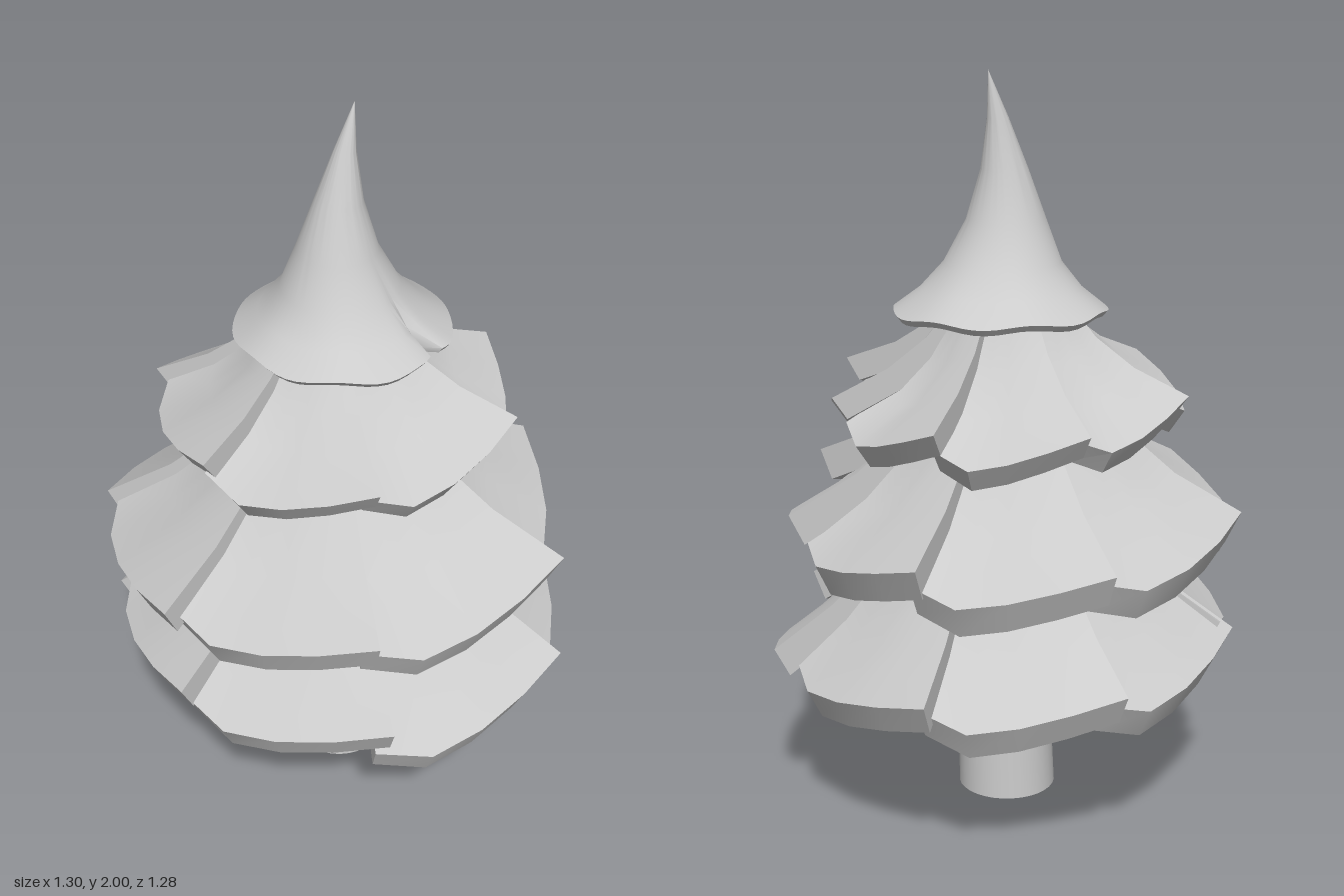
import * as THREE from 'three';
import { toCreasedNormals } from 'three/addons/utils/BufferGeometryUtils.js';

const rad = THREE.MathUtils.degToRad;
const lerp = THREE.MathUtils.lerp;

// Piecewise-linear lookup in an evenly spaced list
function sample(list, t) {
  const f = Math.min(t, 0.9999) * (list.length - 1);
  const i = Math.floor(f);
  return lerp(list[i], list[i + 1], f - i);
}

// Outer rim shape across a bough: left edge tucked under, right corner lifted and pointed
const RIM_RISE = [0.01, -0.03, -0.01, 0.02, 0.055];
const RIM_REACH = [0.96, 0.985, 0.985, 1.0, 1.045];

// Seams in degrees, counted from the front towards +x
const TIERS = [
  {
    name: 'lowerBough', centre: [0.0, 0.0], thick: 0.08,
    radius: [0.16, 0.25, 0.36, 0.48, 0.63], height: [0.98, 0.83, 0.69, 0.57, 0.46],
    seams: [-25, 28, 80, 131, 177, 230, 283],
    rise: [0.0, -0.01, -0.01, 0.0, 0.0, 0.07, 0.055],
    reach: [1.02, 1.0, 0.98, 0.98, 0.95, 0.98, 1.0],
  },
  {
    name: 'middleBough', centre: [-0.02, 0.0], thick: 0.085,
    radius: [0.15, 0.22, 0.31, 0.44, 0.62], height: [1.25, 1.14, 1.03, 0.92, 0.82],
    seams: [-27, 26, 81, 127, 172, 229, 282],
    rise: [0.01, 0.0, -0.03, -0.04, -0.03, -0.01, 0.0],
    reach: [1.04, 0.97, 0.97, 0.99, 0.96, 1.0, 1.0],
  },
  {
    name: 'upperBough', centre: [0.01, -0.04], thick: 0.06,
    radius: [0.11, 0.16, 0.23, 0.33, 0.47], height: [1.48, 1.38, 1.29, 1.21, 1.14],
    seams: [-24, 33, 83, 127, 173, 222, 282],
    rise: [0.01, 0.0, -0.03, -0.04, -0.01, 0.01, 0.0],
    reach: [1.03, 1.01, 1.0, 0.98, 0.98, 1.0, 1.02],
  },
];

// One bough: a box bent along the tier profile and around the trunk
function boughGeometry(tier, i) {
  const from = tier.seams[i] - 1.5;
  const next = i + 1 < tier.seams.length ? tier.seams[i + 1] : tier.seams[0] + 360;
  const to = next + 2;
  const geo = new THREE.BoxGeometry(1, 1, 1, 4, 1, 4);
  const p = geo.attributes.position;
  for (let k = 0; k < p.count; k++) {
    const u = p.getX(k) + 0.5;
    const v = p.getZ(k) + 0.5;
    const under = p.getY(k) < 0;
    const a = rad(lerp(from, to, u));
    let r = sample(tier.radius, v) * lerp(1, sample(RIM_REACH, u) * tier.reach[i], v);
    let y = sample(tier.height, v) + (sample(RIM_RISE, u) + tier.rise[i]) * v;
    // overlapping edge stays above its neighbour all the way up
    y += 0.025 * u * (1 - v);
    if (under) {
      r -= 0.04;
      y -= tier.thick * lerp(0.8, 1, v);
    }
    p.setXYZ(k, tier.centre[0] + r * Math.sin(a), y, tier.centre[1] + r * Math.cos(a));
  }
  return toCreasedNormals(geo, rad(35));
}

// Leaning, flared cap with a split rim
function capGeometry() {
  const profile = [
    [0.17, 1.43], [0.27, 1.372], [0.283, 1.388], [0.215, 1.44], [0.155, 1.51],
    [0.105, 1.62], [0.062, 1.75], [0.028, 1.88], [0.0, 2.0],
  ].map(([r, y]) => new THREE.Vector2(r, y));
  const axis = [0.03, 0.022, 0.01, 0.015, 0.033, 0.062];
  const geo = new THREE.LatheGeometry(profile, 60);
  const p = geo.attributes.position;
  for (let k = 0; k < p.count; k++) {
    const x = p.getX(k), y = p.getY(k), z = p.getZ(k);
    const a = Math.atan2(x, z);
    const low = THREE.MathUtils.clamp((1.53 - y) / 0.14, 0, 1);
    const split = Math.max(0, 1 - Math.abs(a - rad(24)) / rad(7)) * 0.2;
    const wave = 0.012 * Math.sin(a * 7);
    const s = 1 - low * (split + wave);
    const t = (y - 1.37) / 0.63;
    p.setXYZ(k, x * s + sample(axis, Math.max(t, 0)), y + 0.005 * low * Math.sin(a * 7), z * s - 0.018);
  }
  return toCreasedNormals(geo, rad(40));
}

export function createModel() {
  const tree = new THREE.Group();
  tree.name = 'tree';
  const grey = new THREE.MeshStandardMaterial({ color: 0xcccccc, side: THREE.DoubleSide });
  const add = (name, geo, parent = tree) => {
    const mesh = new THREE.Mesh(geo, grey);
    mesh.name = name;
    parent.add(mesh);
  };

  // Hollow trunk, leaning slightly towards the tip
  const trunk = new THREE.CylinderGeometry(0.1, 0.136, 1.3, 32, 1, true);
  trunk.translate(0, 0.65, 0);
  const p = trunk.attributes.position;
  for (let k = 0; k < p.count; k++) {
    const t = p.getY(k) / 1.3;
    p.setX(k, p.getX(k) + lerp(-0.017, 0.05, t));
    p.setZ(k, p.getZ(k) + lerp(0.028, -0.03, t));
  }
  add('trunk', trunk);

  // Three tiers of overlapping boughs
  for (const tier of TIERS) {
    const group = new THREE.Group();
    group.name = tier.name + 's';
    tier.seams.forEach((_, i) => add(tier.name, boughGeometry(tier, i), group));
    tree.add(group);
  }

  add('treeTop', capGeometry());
  return tree;
}
